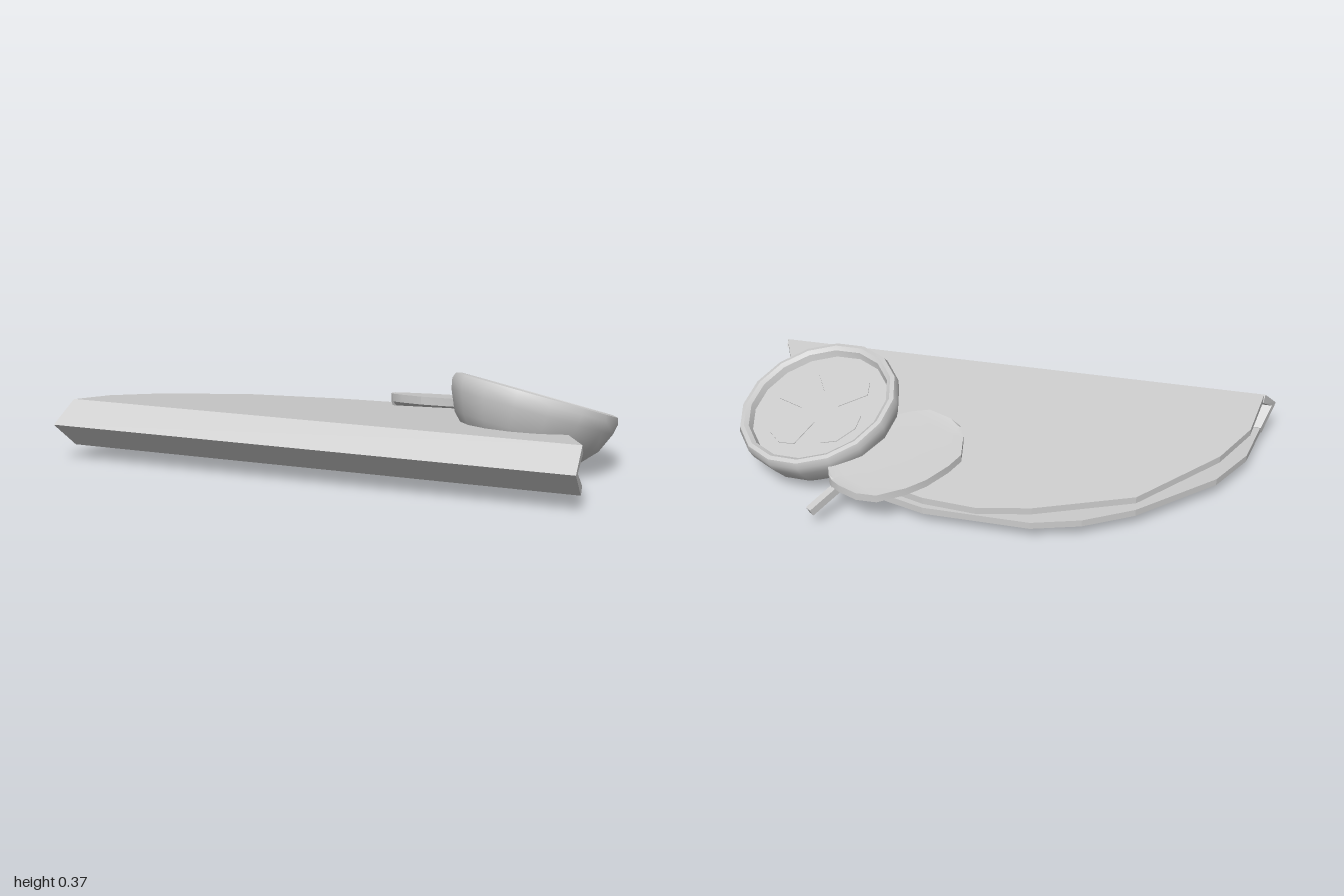
import * as THREE from 'three';
import { toCreasedNormals } from 'three/addons/utils/BufferGeometryUtils.js';

const grey = new THREE.MeshStandardMaterial({ color: 0xcccccc });
const flat = new THREE.MeshStandardMaterial({ color: 0xcccccc, flatShading: true });

function part(name, geometry, material = flat) {
  const mesh = new THREE.Mesh(geometry, material);
  mesh.name = name;
  return mesh;
}

// Moves every vertex of a geometry by a rule
function reshape(geometry, rule) {
  const p = geometry.attributes.position, v = new THREE.Vector3();
  for (let i = 0; i < p.count; i++) {
    rule(v.fromBufferAttribute(p, i));
    p.setXYZ(i, v.x, v.y, v.z);
  }
  geometry.computeVertexNormals();
  return geometry;
}

// Slab with an outline in (x, z); underside at y, tilted by slope from the front edge
function flap(outline, y, thickness, slope) {
  const shape = new THREE.Shape(outline.map(([x, z]) => new THREE.Vector2(x, -z)));
  const geo = new THREE.ExtrudeGeometry(shape, { depth: thickness, bevelEnabled: false });
  geo.rotateX(-Math.PI / 2);
  return reshape(geo, v => { v.y += y + (v.z - 0.41) * slope; });
}

// Chevron fold joining both flaps along the front
function fold() {
  const profile = [[0.41, 0.235], [0.495, 0.152], [0.41, 0.06], [0.395, 0.09], [0.468, 0.152], [0.395, 0.205]];
  const shape = new THREE.Shape(profile.map(([z, y]) => new THREE.Vector2(z, y)));
  const geo = new THREE.ExtrudeGeometry(shape, { depth: 1.925, bevelEnabled: false });
  geo.rotateY(-Math.PI / 2).translate(0.97, 0, 0);
  return reshape(geo, v => {
    if (v.x < 0) v.x -= 0.045 * Math.max(0, (v.z - 0.4) / 0.095);
  });
}

// Leaf lofted along its midrib from [distance, half width] stations
function leaf() {
  const base = new THREE.Vector2(0.54, -0.4);
  const along = new THREE.Vector2(-0.77, 0.635), side = new THREE.Vector2(-0.635, -0.77);
  const stations = [[0, 0.015], [0.012, 0.05], [0.05, 0.115], [0.11, 0.163], [0.22, 0.184], [0.3, 0.184],
    [0.4, 0.162], [0.465, 0.135], [0.512, 0.056], [0.527, 0.005]];
  const pos = [], index = [];
  for (const [d, w] of stations) {
    // ring: left top, midrib top, right top, right bottom, midrib bottom, left bottom
    for (const [s, drop] of [[1, 0], [0, 0.008], [-1, 0], [-1, 0.03], [0, 0.045], [1, 0.03]]) {
      const x = base.x + along.x * d + side.x * w * s;
      const z = base.y + along.y * d + side.y * w * s;
      pos.push(x, 0.255 + 0.2 * z - drop, z);
    }
  }
  const n = 6, last = (stations.length - 1) * n;
  for (let i = 0; i < last; i += n) {
    for (let j = 0; j < n; j++) {
      const a = i + j, b = i + (j + 1) % n;
      index.push(a, a + n, b, b, a + n, b + n);
    }
  }
  for (let j = 1; j < n - 1; j++) {
    index.push(0, j, j + 1, last, last + j + 1, last + j);
  }
  const geo = new THREE.BufferGeometry();
  geo.setAttribute('position', new THREE.Float32BufferAttribute(pos, 3));
  geo.setIndex(index);
  // keep the winding outward
  if (signedVolume(pos, index) < 0) {
    for (let i = 0; i < index.length; i += 3) [index[i], index[i + 1]] = [index[i + 1], index[i]];
    geo.setIndex(index);
  }
  return toCreasedNormals(geo, 0.5);
}

function signedVolume(pos, index) {
  let sum = 0;
  const at = i => new THREE.Vector3().fromArray(pos, i * 3);
  for (let i = 0; i < index.length; i += 3) {
    sum += at(index[i]).dot(at(index[i + 1]).cross(at(index[i + 2])));
  }
  return sum;
}

// Half fruit with rind, recessed cut face and four raised segments
function halfFruit() {
  const fruit = new THREE.Group();
  fruit.name = 'halfFruit';
  const profile = [[0, -0.24], [0.12, -0.238], [0.21, -0.195], [0.275, -0.125], [0.308, -0.05], [0.316, -0.01],
    [0.308, 0.012], [0.292, 0.016], [0.276, 0.006], [0.268, -0.02], [0, -0.02]];
  const body = new THREE.LatheGeometry(profile.map(([r, y]) => new THREE.Vector2(r, y)), 16);
  fruit.add(part('rind', toCreasedNormals(body, 0.7), grey));

  const cross = new THREE.Shape();
  for (let k = 0; k < 4; k++) {
    for (const [angle, r] of [[-0.5, 0.19], [-0.2, 0.21], [0.2, 0.21], [0.5, 0.19], [Math.PI / 4, 0.075]]) {
      const a = angle + k * Math.PI / 2 + Math.PI / 4;
      const x = r * Math.cos(a), y = r * Math.sin(a);
      if (k === 0 && angle === -0.5) cross.moveTo(x, y);
      else cross.lineTo(x, y);
    }
  }
  const pulp = new THREE.ExtrudeGeometry(cross, { depth: 0.004, bevelEnabled: false });
  pulp.rotateX(-Math.PI / 2).translate(0, -0.021, 0);
  fruit.add(part('segments', pulp));

  fruit.position.set(0.685, 0.268, -0.073);
  fruit.quaternion.setFromUnitVectors(new THREE.Vector3(0, 1, 0), new THREE.Vector3(0.2, 1, -0.28).normalize());
  return fruit;
}

export function createModel() {
  const model = new THREE.Group();
  model.name = 'foldedFlatbreadWithFruit';

  // Folded bread
  const upper = [[-0.955, 0.41], [-0.925, 0.2], [-0.83, 0.03], [-0.56, -0.24], [-0.2, -0.365], [0, -0.4],
    [0.2, -0.385], [0.4, -0.33], [0.58, -0.22], [0.8, 0.01], [0.88, 0.2], [0.97, 0.41]];
  const lower = [[-0.955, 0.41], [-0.92, 0.2], [-0.825, 0.02], [-0.56, -0.235], [-0.38, -0.34], [-0.2, -0.395],
    [0.2, -0.39], [0.4, -0.33], [0.58, -0.21], [0.79, 0.02], [0.88, 0.2], [0.97, 0.41]];
  model.add(part('upperFlap', flap(upper, 0.208, 0.027, 0.135)));
  model.add(part('lowerFlap', flap(lower, 0.06, 0.027, 0)));
  model.add(part('frontFold', fold()));

  // Leaf and stem
  model.add(part('leaf', leaf(), grey));
  const a = new THREE.Vector3(0.49, 0.15, -0.36), b = new THREE.Vector3(0.598, 0.075, -0.485);
  const stem = part('stem', new THREE.BoxGeometry(0.028, 0.03, a.distanceTo(b)));
  stem.position.copy(a).lerp(b, 0.5);
  stem.lookAt(b);
  model.add(stem);

  model.add(halfFruit());
  return model;
}
